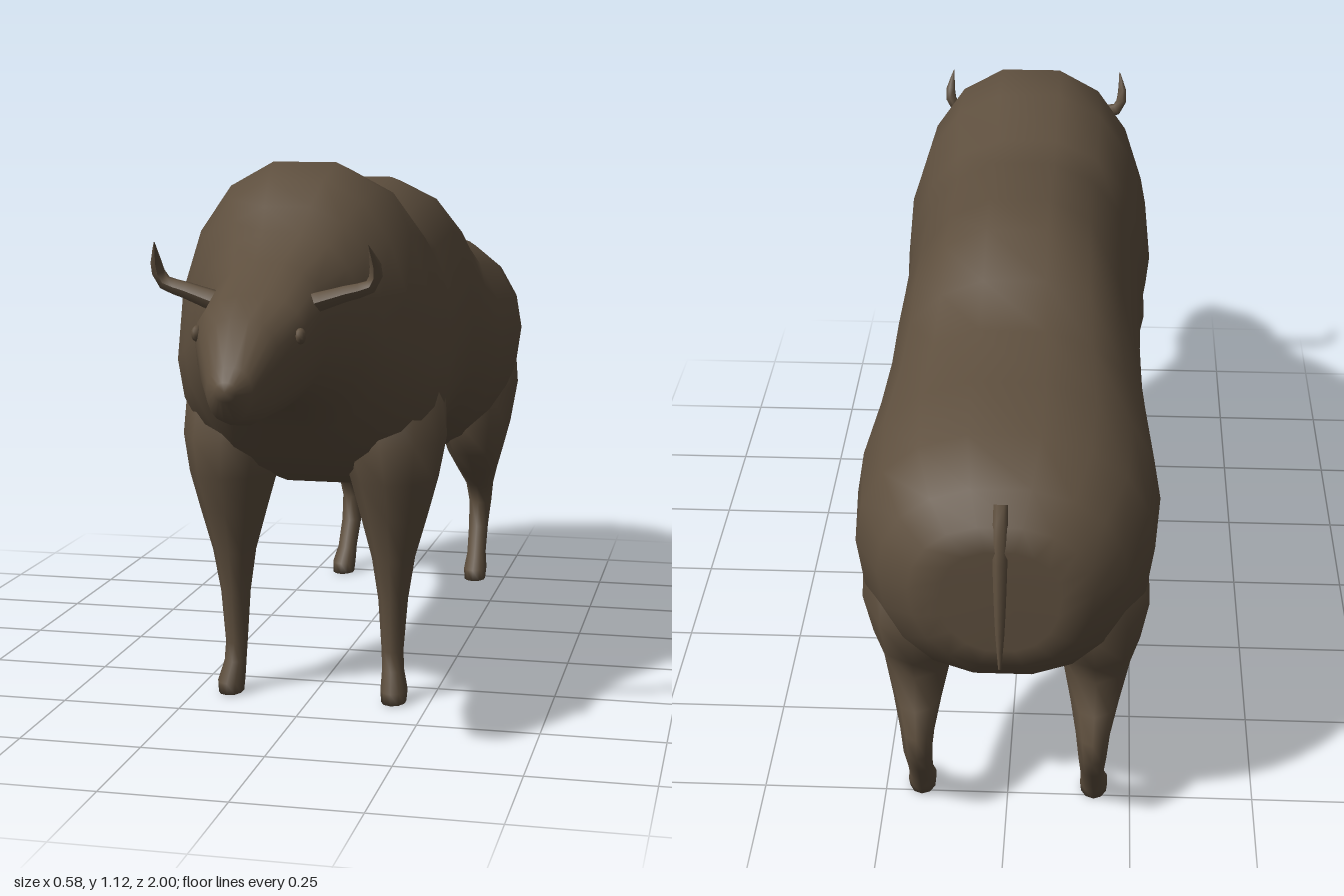
import * as THREE from 'three';

const SEG = 18;

// Skin closed rings of equal length; rings advance along +axis, capped at both ends
function loft(rings, capA, capB) {
  const pos = [], idx = [], n = rings[0].length, m = rings.length;
  rings.forEach(r => r.forEach(p => pos.push(...p)));
  pos.push(...capA, ...capB);
  for (let j = 0; j < m - 1; j++) {
    for (let i = 0; i < n; i++) {
      const a = j * n + i, b = j * n + (i + 1) % n;
      idx.push(a, b, a + n, b, b + n, a + n);
    }
  }
  for (let i = 0; i < n; i++) {
    const k = (i + 1) % n, l = (m - 1) * n;
    idx.push(m * n, k, i, m * n + 1, l + i, l + k);
  }
  const g = new THREE.BufferGeometry();
  g.setAttribute('position', new THREE.Float32BufferAttribute(pos, 3));
  g.setIndex(idx);
  g.computeVertexNormals();
  return g;
}

// Rounded upright section: z, top, bottom, half width, height of widest point
function bodyRing([z, top, bottom, w, mid]) {
  return Array.from({ length: SEG }, (_, i) => {
    const t = i / SEG * Math.PI * 2, c = Math.cos(t), s = Math.sin(t);
    const x = w * Math.sign(c) * Math.abs(c) ** 0.82;
    return [x, mid + s * (s > 0 ? top - mid : mid - bottom), z];
  });
}

// Level oval section of a leg: y, x, z, half width, half depth
function legRing([y, x, z, rx, rz]) {
  return Array.from({ length: 10 }, (_, i) => {
    const t = i / 10 * Math.PI * 2;
    return [x + rx * Math.sin(t), y, z + rz * Math.cos(t)];
  });
}

function legGeometry(rows) {
  const a = rows[0], b = rows[rows.length - 1];
  return loft(rows.map(legRing), [a[1], a[0], a[2]], [b[1], b[0], b[2]]);
}

// Tube along a curve whose radius changes from point to point
function taperedTube(points, radii, sides = 6) {
  const curve = new THREE.CatmullRomCurve3(points.map(p => new THREE.Vector3(...p)));
  const steps = 9, g = new THREE.TubeGeometry(curve, steps, 1, sides);
  const p = g.attributes.position, v = new THREE.Vector3();
  for (let j = 0; j <= steps; j++) {
    const c = curve.getPointAt(j / steps), f = j / steps * (radii.length - 1);
    const k = Math.min(Math.floor(f), radii.length - 2);
    const r = THREE.MathUtils.lerp(radii[k], radii[k + 1], f - k);
    for (let i = 0; i <= sides; i++) {
      const n = j * (sides + 1) + i;
      v.fromBufferAttribute(p, n).sub(c).multiplyScalar(r).add(c);
      p.setXYZ(n, v.x, v.y, v.z);
    }
  }
  g.computeVertexNormals();
  return g;
}

export function createModel() {
  const model = new THREE.Group();
  const hide = new THREE.MeshStandardMaterial({ color: 0x5e4f3e, side: THREE.DoubleSide });
  hide.name = 'brown hide';
  const add = (name, geometry) => {
    const mesh = new THREE.Mesh(geometry, hide);
    mesh.name = name;
    model.add(mesh);
    return mesh;
  };

  // Rump, back, hump, neck and head as one skin
  const body = [
    [-0.97, 0.76, 0.54, 0.11, 0.66],
    [-0.95, 0.80, 0.49, 0.17, 0.66],
    [-0.90, 0.85, 0.43, 0.23, 0.66],
    [-0.80, 0.90, 0.37, 0.28, 0.66],
    [-0.65, 0.925, 0.35, 0.292, 0.67],
    [-0.48, 0.94, 0.39, 0.275, 0.68],
    [-0.38, 1.00, 0.42, 0.262, 0.70],
    [-0.28, 1.063, 0.437, 0.257, 0.72],
    [-0.17, 1.077, 0.437, 0.254, 0.73],
    [0.07, 1.05, 0.435, 0.258, 0.72],
    [0.17, 1.06, 0.44, 0.27, 0.71],
    [0.30, 1.115, 0.45, 0.28, 0.71],
    [0.41, 1.132, 0.49, 0.27, 0.72],
    [0.48, 1.10, 0.54, 0.235, 0.75],
    [0.55, 1.05, 0.60, 0.195, 0.78],
    [0.60, 1.00, 0.64, 0.165, 0.81],
    [0.70, 0.95, 0.68, 0.118, 0.83],
    [0.82, 0.90, 0.675, 0.108, 0.82],
    [0.90, 0.867, 0.672, 0.075, 0.79],
    [0.97, 0.79, 0.69, 0.042, 0.745],
    [0.995, 0.765, 0.73, 0.02, 0.748]
  ];
  add('body', loft(body.map(bodyRing), [0, 0.66, -0.94], [0, 0.748, 1]));

  // Rows run from the hoof up into the body
  const foreRows = [
    [0.005, 0.176, 0.362, 0.026, 0.036],
    [0.03, 0.176, 0.360, 0.028, 0.040],
    [0.07, 0.171, 0.346, 0.023, 0.027],
    [0.11, 0.169, 0.342, 0.023, 0.024],
    [0.22, 0.170, 0.342, 0.031, 0.034],
    [0.31, 0.171, 0.345, 0.045, 0.049],
    [0.40, 0.172, 0.343, 0.070, 0.075],
    [0.48, 0.172, 0.340, 0.091, 0.110],
    [0.56, 0.165, 0.330, 0.112, 0.135],
    [0.70, 0.145, 0.310, 0.125, 0.130]
  ];
  const hindRows = [
    [0.003, 0.176, -0.725, 0.027, 0.036],
    [0.03, 0.176, -0.732, 0.029, 0.042],
    [0.065, 0.174, -0.763, 0.024, 0.031],
    [0.13, 0.172, -0.806, 0.025, 0.032],
    [0.19, 0.172, -0.835, 0.029, 0.038],
    [0.24, 0.172, -0.822, 0.035, 0.052],
    [0.29, 0.174, -0.768, 0.050, 0.083],
    [0.35, 0.176, -0.712, 0.070, 0.108],
    [0.42, 0.174, -0.715, 0.090, 0.150],
    [0.52, 0.166, -0.730, 0.114, 0.178],
    [0.68, 0.140, -0.730, 0.130, 0.160]
  ];
  for (const [side, s] of [['left', 1], ['right', -1]]) {
    const mirror = rows => rows.map(([y, x, z, rx, rz]) => [y, x * s, z, rx, rz]);
    add(side + 'ForeLeg', legGeometry(mirror(foreRows)));
    add(side + 'HindLeg', legGeometry(mirror(hindRows)));

    // Horn sweeping outward, then turning up to a point
    const horn = [[0.085, 0.875, 0.73], [0.15, 0.895, 0.72], [0.202, 0.912, 0.712],
      [0.211, 0.94, 0.72], [0.204, 0.988, 0.755]];
    add(side + 'Horn', taperedTube(horn.map(([x, y, z]) => [x * s, y, z]),
      [0.022, 0.018, 0.015, 0.012, 0.001]));

    // Small eye bulging from the side of the head
    const eye = add(side + 'Eye', new THREE.SphereGeometry(0.015, 10, 8));
    eye.position.set(0.097 * s, 0.83, 0.84);
    eye.scale.x = 0.7;
  }

  // Thin tail hanging down the rump
  add('tail', taperedTube([[0, 0.832, -0.925], [0, 0.79, -0.952], [0, 0.69, -0.973],
    [0, 0.60, -0.985], [0, 0.52, -0.996]], [0.013, 0.014, 0.012, 0.009, 0.003]));

  return model;
}
